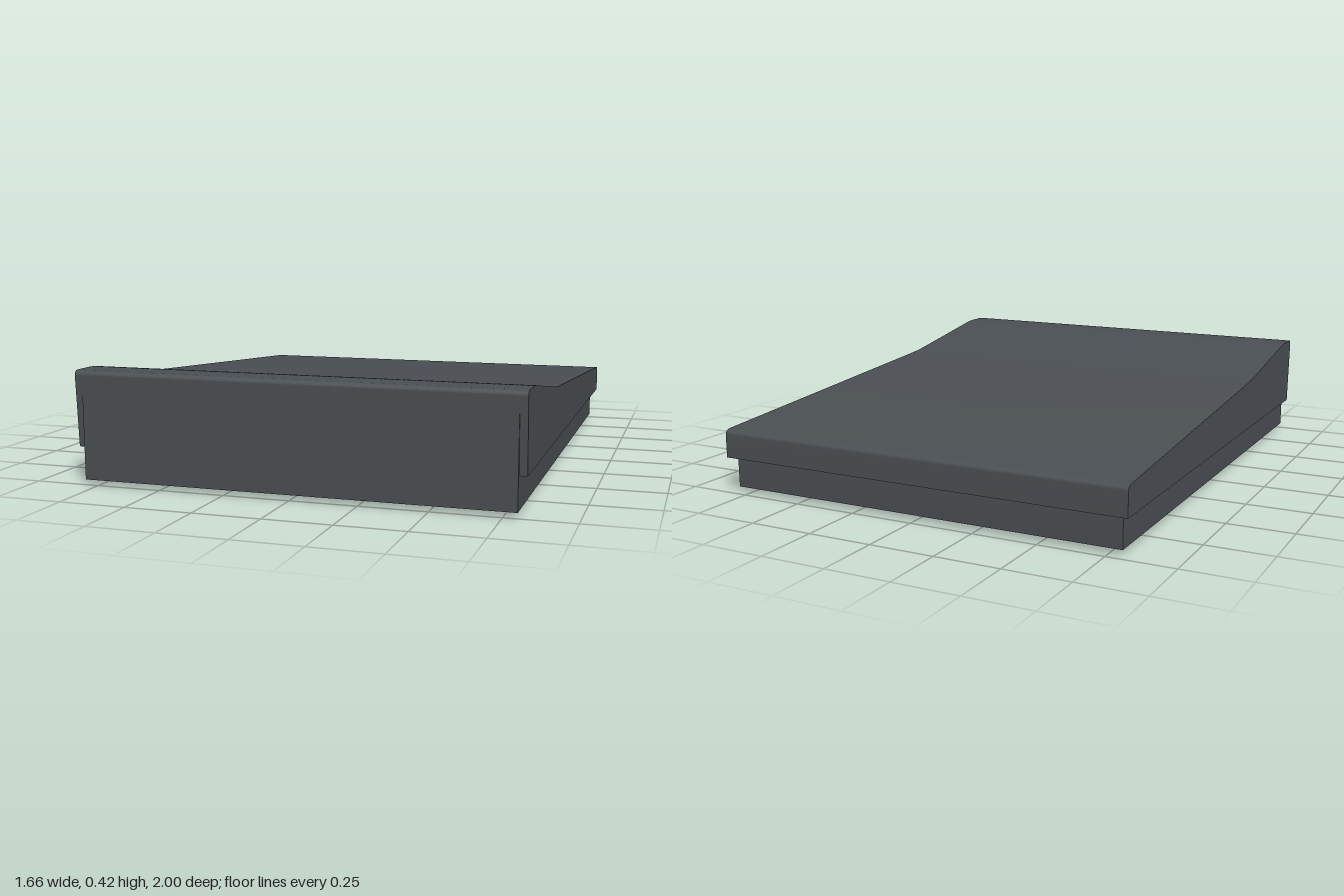
import * as THREE from 'three';
import { toCreasedNormals } from 'three/addons/utils/BufferGeometryUtils.js';

const casing = new THREE.MeshStandardMaterial({ color: 0x4a4f53 });
casing.name = 'dark grey casing';

// Extrudes a side profile drawn in (z, y) across the width, centred on x = 0.
function sideExtrude(name, shape, width) {
  const geometry = new THREE.ExtrudeGeometry(shape, { depth: width, bevelEnabled: false, curveSegments: 6 });
  geometry.translate(0, 0, -width / 2);
  geometry.rotateY(-Math.PI / 2);
  const mesh = new THREE.Mesh(toCreasedNormals(geometry, 0.5), casing);
  mesh.name = name;
  return mesh;
}

export function createModel() {
  const model = new THREE.Group();
  model.name = 'slopedCase';

  // Lower tray with an upright front panel
  const tray = new THREE.Shape();
  tray.moveTo(-0.97, 0.02);
  tray.lineTo(1, 0.02);
  tray.lineTo(1, 0.405);
  tray.lineTo(0.95, 0.405);
  tray.lineTo(0.95, 0.15);
  tray.lineTo(-0.97, 0.15);
  tray.closePath();
  model.add(sideExtrude('trayAndFrontPanel', tray, 1.6));

  // Wider sloped lid with rounded front and back edges
  const lid = new THREE.Shape();
  lid.moveTo(-1, 0.14);
  lid.lineTo(0.986, 0.14);
  lid.lineTo(1, 0.405);
  lid.quadraticCurveTo(1, 0.424, 0.98, 0.424);
  lid.lineTo(0.9, 0.424);
  lid.quadraticCurveTo(0.87, 0.424, 0.84, 0.419);
  lid.lineTo(0.42, 0.354);
  lid.quadraticCurveTo(0.36, 0.345, 0.3, 0.341);
  lid.lineTo(-0.975, 0.251);
  lid.quadraticCurveTo(-1, 0.249, -1, 0.23);
  lid.closePath();
  model.add(sideExtrude('slopedLid', lid, 1.656));

  // Four tapered feet
  const footGeometry = new THREE.CylinderGeometry(0.04, 0.026, 0.022, 24);
  for (const x of [-0.73, 0.73]) {
    for (const z of [-0.89, 0.89]) {
      const foot = new THREE.Mesh(footGeometry, casing);
      foot.name = 'foot';
      foot.position.set(x, 0.011, z);
      model.add(foot);
    }
  }
  return model;
}
